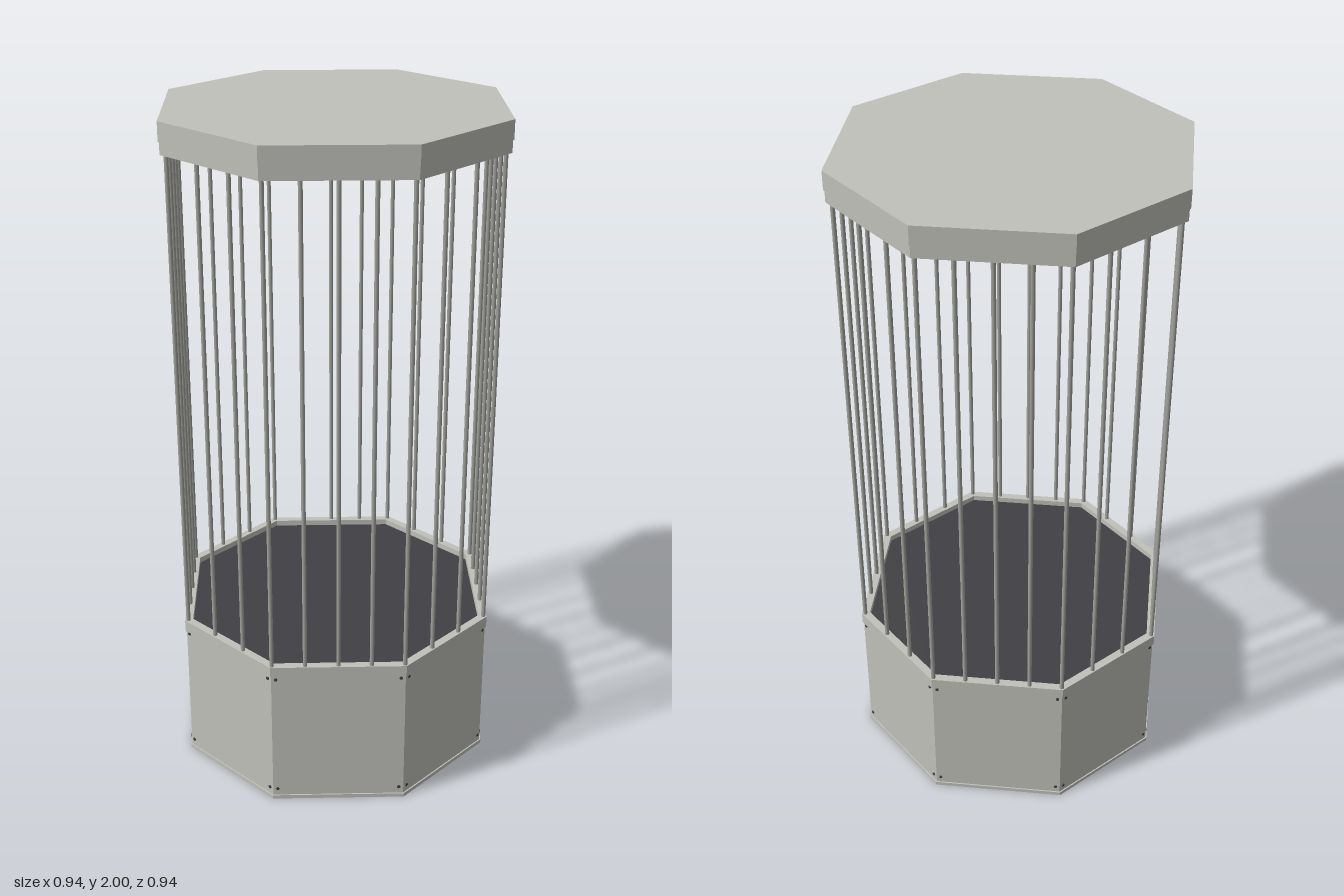
import * as THREE from 'three';

const CORNER = 0.43; // half length of a straight side relative to its distance from the centre

// Corners of an octagon whose sides lie at distance a from the centre
function corners(a) {
  const b = a * CORNER;
  return [[b, a], [-b, a], [-a, b], [-a, -b], [-b, -a], [b, -a], [a, -b], [a, b]]
    .map(([x, y]) => new THREE.Vector2(x, y));
}

// Octagonal slab from y0 to y1, with an opening when inner is given
function slab(outer, inner, y0, y1) {
  const shape = new THREE.Shape(corners(outer));
  if (inner) shape.holes.push(new THREE.Path(corners(inner)));
  const geo = new THREE.ExtrudeGeometry(shape, { depth: y1 - y0, bevelEnabled: false });
  geo.rotateX(-Math.PI / 2);
  geo.translate(0, y0, 0);
  return geo;
}

export function createModel() {
  const group = new THREE.Group();
  const panel = new THREE.MeshStandardMaterial({ name: 'pale grey panel', color: 0xc1c1bb });
  const metal = new THREE.MeshStandardMaterial({ name: 'bar metal', color: 0xa2a29d });
  const dark = new THREE.MeshStandardMaterial({ name: 'charcoal', color: 0x414145 });

  const add = (name, geo, mat, parent = group) => {
    const mesh = new THREE.Mesh(geo, mat);
    mesh.name = name;
    parent.add(mesh);
    return mesh;
  };

  // Base: open-bottomed wall with slim trims and a raised floor
  add('baseWall', slab(0.457, 0.447, 0.005, 0.44), panel);
  add('baseBottomTrim', slab(0.461, 0.447, 0, 0.012), panel);
  add('baseTopRim', slab(0.461, 0.437, 0.435, 0.47), panel);
  add('floor', slab(0.446, null, 0.442, 0.452), dark);

  // Lid: outer cap, lower ring and dark ceiling
  add('lidCap', slab(0.47, null, 1.945, 2), panel);
  add('lidRing', slab(0.467, 0.437, 1.91, 1.945), panel);
  add('ceiling', slab(0.445, null, 1.93, 1.944), dark);

  // Bars at every corner, three between on straight sides, two on diagonals
  const bars = new THREE.Group();
  bars.name = 'bars';
  group.add(bars);
  const barGeo = new THREE.CylinderGeometry(0.0065, 0.0065, 1.48, 10);
  const ring = corners(0.451);
  ring.forEach((p, i) => {
    const q = ring[(i + 1) % 8];
    const n = i % 2 ? 3 : 4;
    for (let k = 0; k < n; k++) {
      const c = p.clone().lerp(q, k / n);
      add('bar', barGeo, metal, bars).position.set(c.x, 1.185, c.y);
    }
  });

  // Small bolts near the ends of each wall panel
  const bolts = new THREE.Group();
  bolts.name = 'bolts';
  group.add(bolts);
  const boltGeo = new THREE.CylinderGeometry(0.005, 0.005, 0.006, 8).rotateX(Math.PI / 2);
  const wall = corners(0.457);
  wall.forEach((p, i) => {
    const q = wall[(i + 1) % 8];
    const mid = p.clone().add(q);
    for (const t of [0.035, 0.965]) for (const y of [0.035, 0.427]) {
      const c = p.clone().lerp(q, t);
      const bolt = add('bolt', boltGeo, dark, bolts);
      bolt.position.set(c.x, y, c.y);
      bolt.rotation.y = Math.atan2(mid.x, mid.y);
    }
  });

  return group;
}
